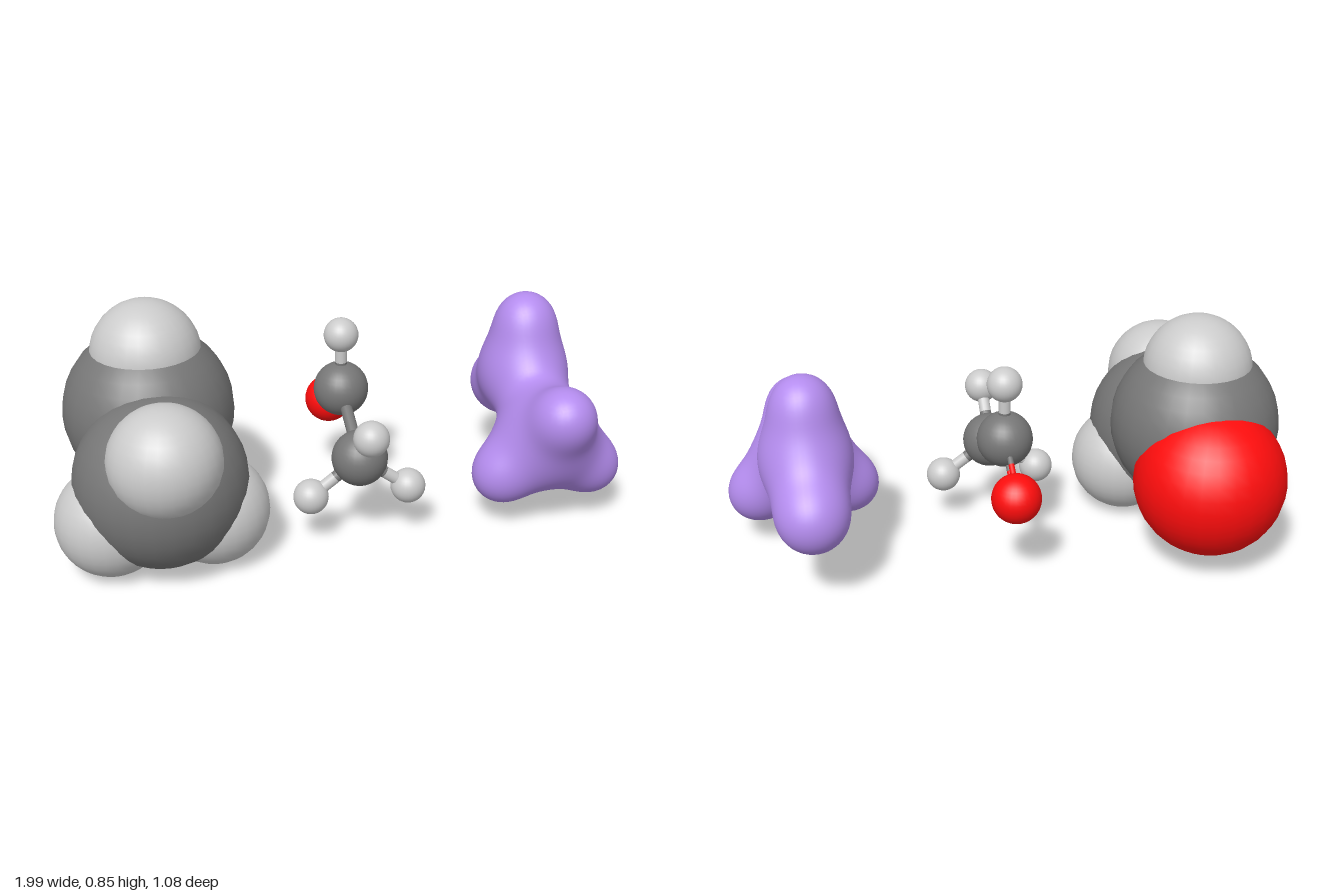
import * as THREE from 'three';

const elements = {
  carbon: { color: 0x777777, fill: 0.295, ball: 0.097, skin: 0.14 },
  hydrogen: { color: 0xcccccc, fill: 0.19, ball: 0.061, skin: 0.085 },
  oxygen: { color: 0xff0d0d, fill: 0.265, ball: 0.086, skin: 0.11 },
};
for (const e of Object.values(elements)) e.material = new THREE.MeshStandardMaterial({ color: e.color });

const atom = (kind, x, y, z) => ({ kind, ...elements[kind], pos: new THREE.Vector3(x, y, z) });
const atoms = [
  atom('carbon', 0, 0.46, -0.08),
  atom('carbon', 0, 0.322, 0.195),
  atom('oxygen', 0, 0.33, -0.275),
  atom('hydrogen', 0, 0.665, -0.08),
  atom('hydrogen', 0, 0.47, 0.348),
  atom('hydrogen', 0.173, 0.195, 0.2),
  atom('hydrogen', -0.173, 0.195, 0.2),
];
// pairs of atoms and bond order
const bonds = [[0, 1, 1], [0, 2, 2], [0, 3, 1], [1, 4, 1], [1, 5, 1], [1, 6, 1]];

function addSpheres(group, size) {
  for (const a of atoms) {
    const mesh = new THREE.Mesh(new THREE.SphereGeometry(a[size], 28, 18), a.material);
    mesh.position.copy(a.pos);
    mesh.name = a.kind + 'Atom';
    group.add(mesh);
  }
}

// one stick half, coloured like the atom it starts from
function halfStick(a, b, offset, radius) {
  const dir = b.pos.clone().sub(a.pos);
  const length = dir.length() / 2;
  const mesh = new THREE.Mesh(new THREE.CylinderGeometry(radius, radius, length, 16), a.material);
  mesh.position.copy(a.pos).addScaledVector(dir, 0.25).add(offset);
  mesh.quaternion.setFromUnitVectors(new THREE.Vector3(0, 1, 0), dir.normalize());
  mesh.name = 'bondHalf';
  return mesh;
}

function addBonds(group) {
  for (const [i, j, order] of bonds) {
    const a = atoms[i], b = atoms[j];
    const across = b.pos.clone().sub(a.pos).cross(new THREE.Vector3(1, 0, 0)).normalize();
    for (const s of order === 2 ? [-0.024, 0.024] : [0]) {
      const offset = across.clone().multiplyScalar(s);
      const radius = order === 2 ? 0.01 : 0.021;
      group.add(halfStick(a, b, offset, radius), halfStick(b, a, offset, radius));
    }
  }
}

// smooth union of spheres: value below 0 is outside; also gives the gradient
const BLEND = 14;
function field(p, gradient) {
  let sum = 0;
  const d = new THREE.Vector3();
  if (gradient) gradient.set(0, 0, 0);
  for (const a of atoms) {
    d.subVectors(p, a.pos);
    const r = d.length() + 1e-9;
    const w = Math.exp(-BLEND * (r - a.skin));
    sum += w;
    if (gradient) gradient.addScaledVector(d, -BLEND * w / r);
  }
  if (gradient) gradient.divideScalar(sum);
  return Math.log(sum);
}

// closed skin: one vertex per crossed grid cell, pulled onto the surface
function skinGeometry() {
  const h = 0.018, n = [36, 43, 55], origin = [-0.324, 0.04, -0.47];
  const at = (i, j, k) => new THREE.Vector3(origin[0] + i * h, origin[1] + j * h, origin[2] + k * h);
  const id = (i, j, k) => (k * n[1] + j) * n[0] + i;
  const inside = new Uint8Array(n[0] * n[1] * n[2]);
  const each = (fn) => {
    for (let k = 1; k < n[2] - 1; k++)
      for (let j = 1; j < n[1] - 1; j++)
        for (let i = 1; i < n[0] - 1; i++) fn(i, j, k);
  };
  each((i, j, k) => { inside[id(i, j, k)] = field(at(i, j, k)) > 0 ? 1 : 0; });

  const positions = [], normals = [], index = [], cells = new Map();
  const g = new THREE.Vector3();
  const vertex = (c) => {
    const key = id(...c);
    if (!cells.has(key)) {
      const p = at(c[0] + 0.5, c[1] + 0.5, c[2] + 0.5);
      for (let s = 0; s < 5; s++) {
        const f = field(p, g);
        p.addScaledVector(g, -f / Math.max(g.lengthSq(), 1));
      }
      field(p, g);
      g.normalize().negate();
      cells.set(key, positions.length / 3);
      positions.push(p.x, p.y, p.z);
      normals.push(g.x, g.y, g.z);
    }
    return cells.get(key);
  };
  each((i, j, k) => {
    for (let axis = 0; axis < 3; axis++) {
      const next = [i, j, k];
      next[axis]++;
      const here = inside[id(i, j, k)];
      if (here === inside[id(...next)]) continue;
      const quad = [[0, 0], [1, 0], [1, 1], [0, 1]].map(([u, v]) => {
        const c = [i, j, k];
        c[(axis + 1) % 3] -= u;
        c[(axis + 2) % 3] -= v;
        return vertex(c);
      });
      if (!here) quad.reverse();
      const [a, b, c, d] = quad;
      index.push(a, b, c, a, c, d);
    }
  });
  const geometry = new THREE.BufferGeometry();
  geometry.setAttribute('position', new THREE.Float32BufferAttribute(positions, 3));
  geometry.setAttribute('normal', new THREE.Float32BufferAttribute(normals, 3));
  geometry.setIndex(index);
  return geometry;
}

export function createModel() {
  const model = new THREE.Group();
  model.name = 'moleculeModels';

  // full-size overlapping atoms
  const filled = new THREE.Group();
  filled.name = 'spaceFillingMolecule';
  filled.position.x = -0.637;
  addSpheres(filled, 'fill');

  // small balls joined by sticks
  const sticks = new THREE.Group();
  sticks.name = 'ballAndStickMolecule';
  sticks.position.x = 0.045;
  addSpheres(sticks, 'ball');
  addBonds(sticks);

  // smooth blended surface
  const skin = new THREE.Mesh(skinGeometry(), new THREE.MeshStandardMaterial({ color: 0xb48cee }));
  skin.name = 'surfaceMolecule';
  skin.position.x = 0.726;

  model.add(filled, sticks, skin);
  return model;
}
